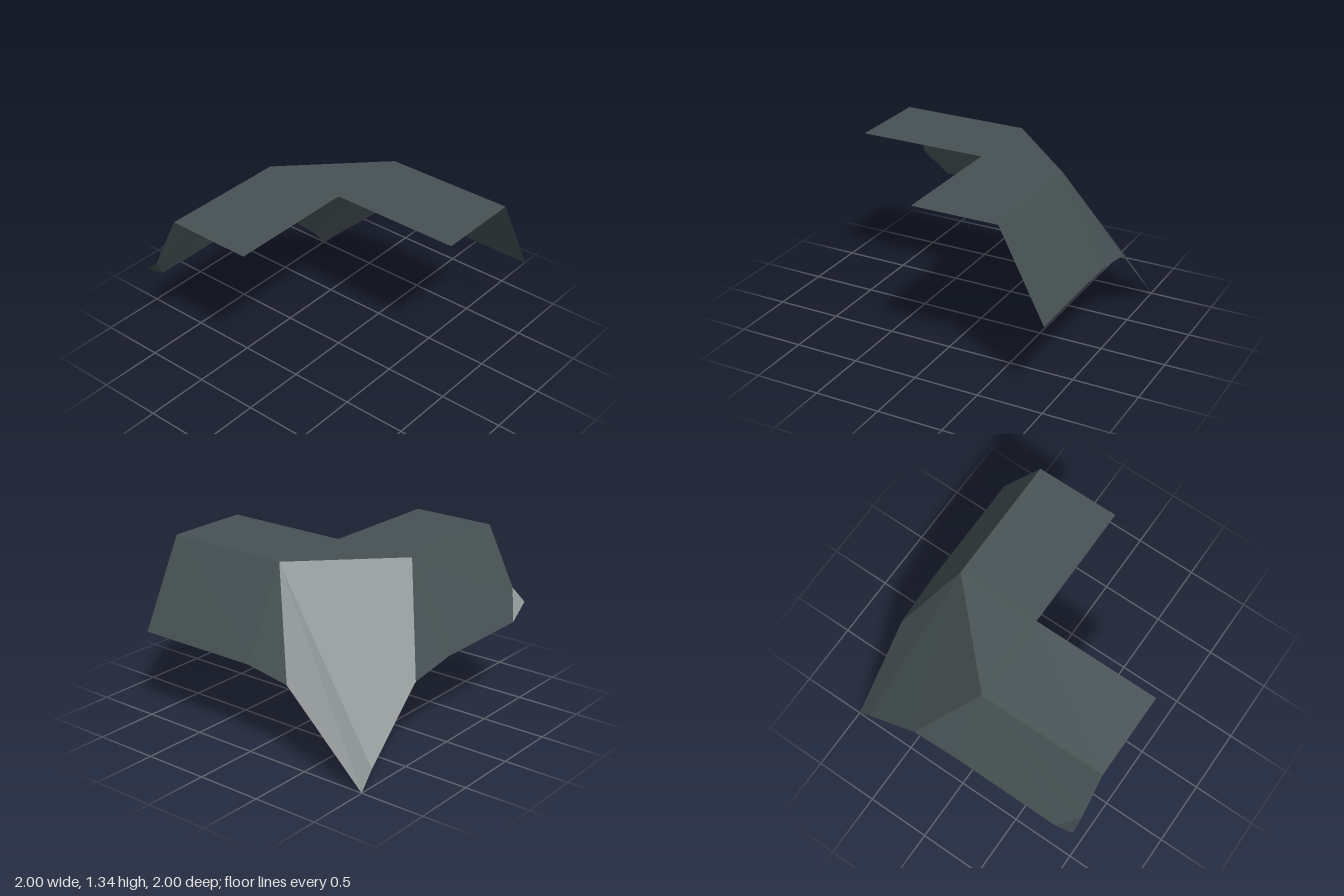
import * as THREE from 'three';

const rock = new THREE.MeshStandardMaterial({ color: 0x475254, side: THREE.DoubleSide, flatShading: true });
rock.name = 'darkSlate';

// Flat panel, fanned from its first corner (counter-clockwise seen from outside)
function panel(name, ...corners) {
  const tris = [];
  for (let i = 1; i < corners.length - 1; i++) tris.push(...corners[0], ...corners[i], ...corners[i + 1]);
  const geometry = new THREE.BufferGeometry();
  geometry.setAttribute('position', new THREE.Float32BufferAttribute(tris, 3));
  geometry.computeVertexNormals();
  const mesh = new THREE.Mesh(geometry, rock);
  mesh.name = name;
  return mesh;
}

export function createModel() {
  const group = new THREE.Group();
  group.name = 'cliffCorner';

  const T = 1.335, M = 0.67; // ledge height, foot of the straight slopes
  // Corners shared by neighbouring panels
  const sideTop = [0.657, 1.333, 0], backTop = [0, 1.333, -0.663];
  const sideFoot = [1, M, 0], backFoot = [0, M, -1];
  const sideBend = [1, 0.61, -0.35], backBend = [0.4, 0.61, -1];
  const tip = [1, 0, -1], ridgeFoot = [0.89, 0.135, -1];
  const chipTop = [-1, 0.88, -0.89], chipFoot = [-0.85, M, -1];

  group.add(
    // L-shaped ledge
    panel('topLedge', [0, T, 0], [0, T, 1], [0.657, T, 1], sideTop, backTop, [-1, T, -0.663], [-1, T, 0]),
    // Slope along the left side
    panel('sideSlope', [0.657, T, 1], [1, M, 1], sideFoot, sideTop),
    panel('sideSlopeEnd', sideTop, sideFoot, sideBend),
    // Corner falling to the low tip
    panel('cornerSideFace', sideTop, sideBend, tip, ridgeFoot),
    panel('cornerMainFace', sideTop, ridgeFoot, backBend, backTop),
    // Slope along the back, with a chipped lower corner
    panel('backSlopeEnd', backTop, backBend, backFoot),
    panel('backSlope', backTop, backFoot, chipFoot, chipTop, [-1, T, -0.663]),
    panel('chippedCorner', chipTop, chipFoot, [-1, 0.79, -1]),
  );
  return group;
}
